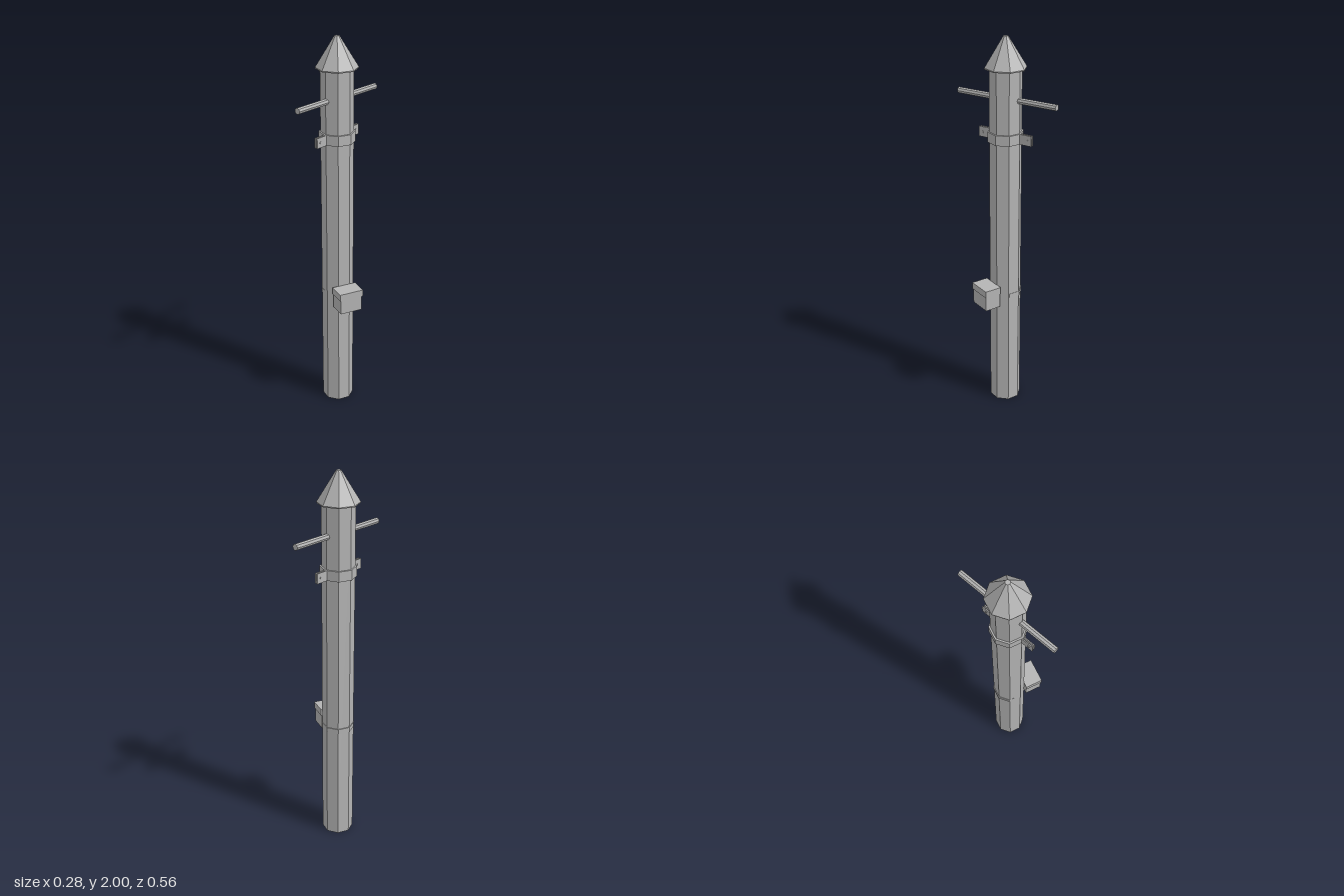
import * as THREE from 'three';

export function createModel() {
  const model = new THREE.Group();
  model.name = 'post';
  const steel = new THREE.MeshStandardMaterial({ color: 0xb4b4b4 });
  steel.name = 'grey steel';

  // everything hangs on the post axis
  const axis = new THREE.Group();
  axis.name = 'postAssembly';
  axis.position.set(-0.038, 0, 0.004);
  model.add(axis);

  const add = (name, geometry, x, y, z, parent = axis) => {
    const flat = geometry.toNonIndexed();
    flat.computeVertexNormals();
    const mesh = new THREE.Mesh(flat, steel);
    mesh.name = name;
    mesh.position.set(x, y, z);
    parent.add(mesh);
    return mesh;
  };
  const octagon = (top, bottom, height) => new THREE.CylinderGeometry(top, bottom, height, 8);

  // octagonal post and its pointed cap
  add('post', octagon(0.082, 0.082, 1.85), 0, 0.925, 0);
  add('cap', octagon(0.0125, 0.105, 0.15), 0, 1.925, 0);
  add('capRim', octagon(0.105, 0.104, 0.006), 0, 1.847, 0);

  // cross rod through the post
  add('crossRod', octagon(0.016, 0.016, 0.563), 0, 1.696, -0.005).rotation.x = Math.PI / 2;

  // clamp collar with bolted ears front and back
  add('clampCollar', octagon(0.091, 0.091, 0.052), 0, 1.506, 0);
  for (const side of [1, -1]) {
    for (const x of [-0.006, 0.006]) {
      add('clampEar', new THREE.BoxGeometry(0.005, 0.052, 0.072), x, 1.506, side * 0.117);
    }
    add('clampBolt', octagon(0.006, 0.006, 0.022), 0, 1.506, side * 0.13).rotation.z = Math.PI / 2;
  }

  // thin strap holding the box, slack on the side away from it
  add('strap', octagon(0.083, 0.083, 0.026), -0.003, 0.648, -0.002);

  // box mounted on one facet of the post
  const box = new THREE.Group();
  box.name = 'box';
  box.rotation.y = -Math.PI / 8;
  axis.add(box);
  add('boxBody', new THREE.BoxGeometry(0.088, 0.08, 0.12), 0.118, 0.635, 0, box);
  add('boxLid', new THREE.BoxGeometry(0.092, 0.036, 0.13), 0.12, 0.692, 0, box);

  return model;
}
